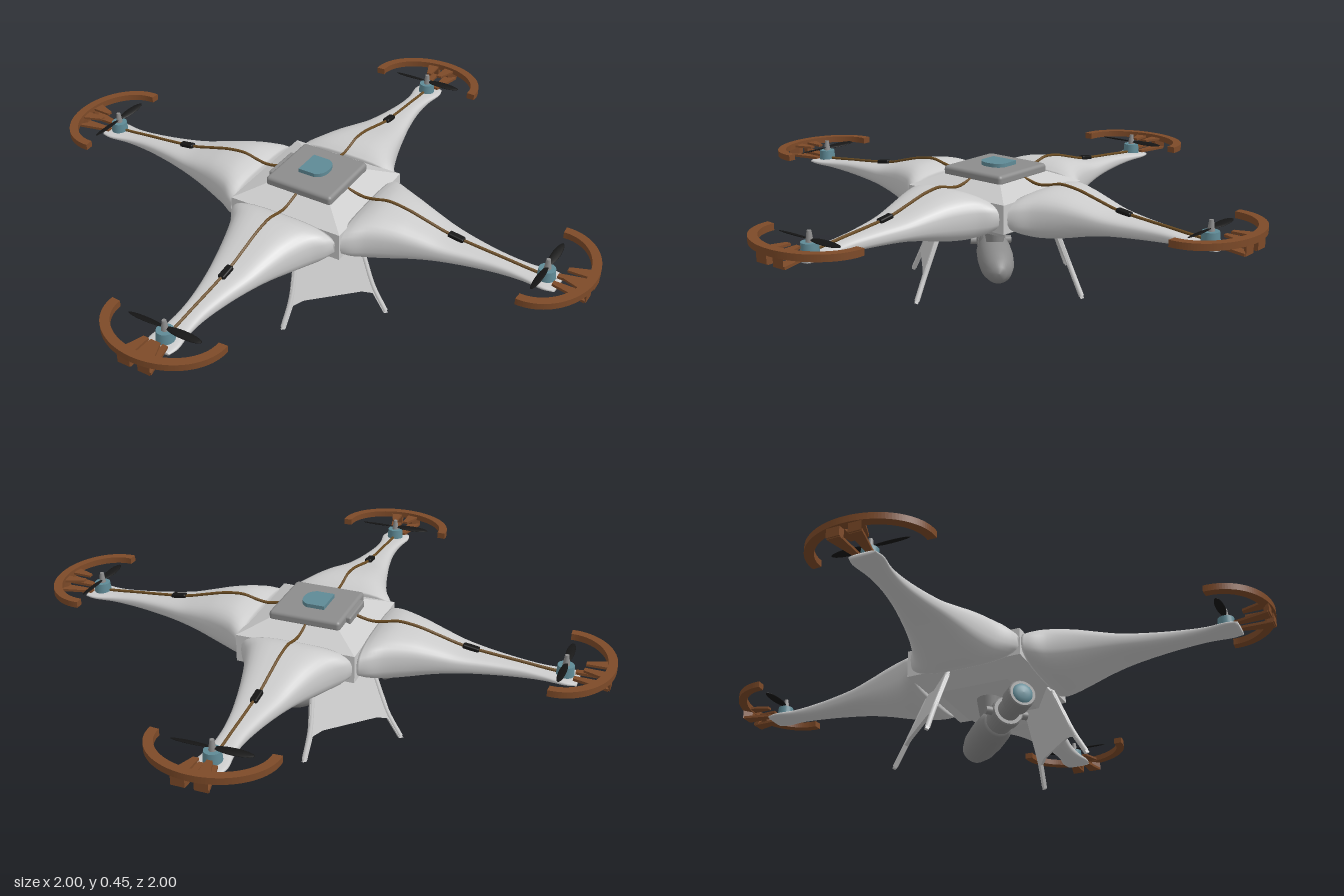
import * as THREE from 'three';
import { RoundedBoxGeometry } from 'three/addons/geometries/RoundedBoxGeometry.js';

const mat = (color, extra = {}) => new THREE.MeshStandardMaterial({ color, ...extra });
const GREY = mat(0xcccccc);
const FACET = mat(0xcccccc, { flatShading: true });
const DARK = mat(0x8c8c8c);
const DARK_FACET = mat(0x8c8c8c, { flatShading: true });
const BROWN = mat(0x7d4a28);
const TEAL = mat(0x5f8a96);
const BLACK = mat(0x151515);
const CABLE = mat(0x6b4c22);

function add(parent, name, geometry, material, x = 0, y = 0, z = 0) {
  const mesh = new THREE.Mesh(geometry, material);
  mesh.name = name;
  mesh.position.set(x, y, z);
  parent.add(mesh);
  return mesh;
}

// Skin a list of closed rings (counter-clockwise about the travel direction), with capped ends
function loft(rings) {
  const n = rings[0].length, pos = [], idx = [];
  rings.forEach(r => r.forEach(p => pos.push(...p)));
  for (let i = 0; i < rings.length - 1; i++)
    for (let j = 0; j < n; j++) {
      const a = i * n + j, b = i * n + (j + 1) % n;
      idx.push(a, b, b + n, a, b + n, a + n);
    }
  const last = (rings.length - 1) * n;
  for (let j = 1; j < n - 1; j++) idx.push(0, j + 1, j, last, last + j, last + j + 1);
  const g = new THREE.BufferGeometry();
  g.setAttribute('position', new THREE.Float32BufferAttribute(pos, 3));
  g.setIndex(idx);
  g.computeVertexNormals();
  return g;
}

// Plan outline in (x, z) made into a slab whose top is at the given height
function slab(shape, top, depth) {
  const g = new THREE.ExtrudeGeometry(shape, { depth, bevelEnabled: false, curveSegments: 32 });
  return g.rotateX(Math.PI / 2).translate(0, top, 0);
}

const polygon = pts => new THREE.Shape(pts.map(p => new THREE.Vector2(...p)));

// Arm stations: distance out, half width, top, bottom
const STATIONS = [
  [0.205, 0.2, 0.375, 0.255], [0.235, 0.185, 0.39, 0.242], [0.28, 0.155, 0.4, 0.235],
  [0.35, 0.125, 0.393, 0.245], [0.42, 0.102, 0.375, 0.262], [0.5, 0.08, 0.354, 0.277],
  [0.6, 0.056, 0.342, 0.285], [0.7, 0.041, 0.333, 0.291], [0.78, 0.041, 0.325, 0.297],
  [0.85, 0.052, 0.32, 0.302], [0.885, 0.045, 0.317, 0.304],
];

function armGeometry() {
  const curve = k => new THREE.CatmullRomCurve3(
    STATIONS.map(s => new THREE.Vector3(s[0], s[k], 0)));
  const [w, t, b] = [1, 2, 3].map(curve);
  const pow = (v, e) => Math.sign(v) * Math.abs(v) ** e;
  const rings = [];
  for (let i = 0; i <= 40; i++) {
    const u = i / 40, z = w.getPoint(u).x, hw = w.getPoint(u).y;
    const top = t.getPoint(u).y, bottom = b.getPoint(u).y;
    const ring = [];
    for (let j = 0; j < 32; j++) {
      const a = j / 32 * Math.PI * 2;
      ring.push([hw * pow(Math.cos(a), 0.65),
        (top + bottom) / 2 + (top - bottom) / 2 * pow(Math.sin(a), 0.75), z]);
    }
    rings.push(ring);
  }
  return loft(rings);
}

// One complete arm pointing along +z
function makeArm() {
  const arm = new THREE.Group();
  arm.name = 'armAssembly';
  add(arm, 'arm', armGeometry(), GREY);

  // Power cable and its clip
  const path = [[0.12, 0.402], [0.19, 0.388],
    ...STATIONS.slice(1, 10).map(s => [s[0], s[2] + 0.004])];
  const curve = new THREE.CatmullRomCurve3(path.map(([z, y]) => new THREE.Vector3(0, y, z)));
  add(arm, 'cable', new THREE.TubeGeometry(curve, 50, 0.005, 6), CABLE);
  add(arm, 'cableClip', new RoundedBoxGeometry(0.024, 0.018, 0.055, 2, 0.005), BLACK, 0, 0.353, 0.53)
    .rotation.x = 0.15;

  // Motor, shaft and propeller
  add(arm, 'motor', new THREE.CylinderGeometry(0.027, 0.03, 0.038, 24), TEAL, 0, 0.335, 0.84);
  add(arm, 'motorShaft', new THREE.CylinderGeometry(0.007, 0.012, 0.036, 16), DARK, 0, 0.371, 0.84);
  for (const side of [-1, 1]) {
    const blade = add(arm, 'propellerBlade', new THREE.SphereGeometry(1, 20, 10), BLACK,
      side * 0.068, 0.363, 0.84);
    blade.scale.set(0.064, 0.003, 0.014);
    blade.rotation.x = side * 0.3;
  }

  // Curved propeller guard
  const guard = new THREE.Shape();
  guard.absellipse(0, 0.83, 0.208, 0.168, -0.06, Math.PI + 0.06, false);
  guard.absellipse(0, 0.83, 0.178, 0.138, Math.PI + 0.06, -0.06, true);
  add(arm, 'propellerGuard', slab(guard, 0.372, 0.022), BROWN);

  // Twin guard brackets: flat strut, upright tab and upper web
  for (const s of [-1, 1]) {
    const wedge = (z0, z1) => {
      const pts = [[0.012 * s, z0], [0.03 * s, z0], [0.058 * s, z1], [0.014 * s, z1]];
      return polygon(pts);
    };
    add(arm, 'guardStrut', slab(wedge(0.87, 0.985), 0.326, 0.009), BROWN);
    add(arm, 'guardTab', slab(wedge(0.968, 0.99), 0.355, 0.036), BROWN);
    add(arm, 'guardWeb', slab(wedge(0.9, 0.975), 0.362, 0.008), BROWN);
  }
  return arm;
}

// Splayed two-footed leg panel, facing local +z
function makeLegs() {
  const legs = new THREE.Group();
  legs.name = 'landingLegs';
  const half = [[0.09, 0.29], [0.118, 0.25], [0.148, 0.1], [0.186, 0], [0.172, 0], [0.138, 0.078], [0.1, 0.09]];
  const outline = [...half, ...half.map(([x, y]) => [-x, y]).reverse()];
  const sheet = new THREE.Group();
  sheet.name = 'legSheet';
  sheet.position.z = 0.28;
  sheet.rotation.x = -0.356;
  const g = new THREE.ExtrudeGeometry(polygon(outline), { depth: 0.012, bevelEnabled: false });
  add(sheet, 'legPanel', g.translate(0, 0, -0.006), GREY);
  for (const s of [-1, 1]) {
    const line = new THREE.CatmullRomCurve3([[0.178, 0.007], [0.142, 0.1], [0.108, 0.26]]
      .map(([x, y]) => new THREE.Vector3(s * x, y, 0)));
    add(sheet, 'legStrut', new THREE.TubeGeometry(line, 12, 0.009, 8), GREY);
  }
  legs.add(sheet);
  return legs;
}

// Slung camera looking along local +z
function makeCamera() {
  const cam = new THREE.Group();
  cam.name = 'slungCamera';
  const turned = pts => new THREE.LatheGeometry(
    pts.map(([z, r]) => new THREE.Vector2(r, z)), 32).rotateX(Math.PI / 2);
  add(cam, 'cameraBody', turned([[-0.17, 0], [-0.165, 0.025], [-0.14, 0.046], [-0.09, 0.058],
    [-0.02, 0.062], [0.05, 0.06], [0.08, 0.05], [0.1, 0.04], [0.1, 0]]), DARK);
  const rings = [[0.09, 0.15, 0.046], [0.14, 0.18, 0.053], [0.17, 0.25, 0.037], [0.24, 0.305, 0.047]];
  for (const [a, b, r] of rings)
    add(cam, 'lensBarrel', turned([[a, 0], [a, r - 0.004], [a + 0.004, r], [b - 0.004, r],
      [b, r - 0.004], [b, 0]]), DARK_FACET);
  add(cam, 'lens', turned([[0.3, 0.036], [0.306, 0.034], [0.312, 0.02], [0.314, 0]]), TEAL);
  for (const s of [-1, 1])
    add(cam, 'sideKnob', new THREE.CylinderGeometry(0.014, 0.014, 0.03, 16).rotateZ(Math.PI / 2),
      DARK, s * 0.058, 0, 0.16);
  return cam;
}

export function createModel() {
  const model = new THREE.Group();
  model.name = 'quadcopter';

  // Square centre hull with sloped shoulders and faceted belly
  const hub = new THREE.Group();
  hub.name = 'hub';
  const profile = [[0, 0.228], [0.13, 0.228], [0.208, 0.268], [0.208, 0.365], [0.125, 0.402], [0, 0.402]];
  add(hub, 'hull', new THREE.LatheGeometry(
    profile.map(([r, y]) => new THREE.Vector2(r * Math.SQRT2, y)), 4, Math.PI / 4), FACET);
  add(hub, 'topPlate', new RoundedBoxGeometry(0.25, 0.036, 0.25, 3, 0.012), DARK, 0, 0.412, 0);
  add(hub, 'plateTab', new RoundedBoxGeometry(0.03, 0.026, 0.14, 2, 0.006), DARK, -0.126, 0.408, 0.01);
  const dome = new THREE.Shape();
  dome.moveTo(-0.045, -0.055).lineTo(0.015, -0.055);
  dome.quadraticCurveTo(0.045, -0.045, 0.045, -0.005);
  dome.quadraticCurveTo(0.045, 0.035, 0.015, 0.045);
  dome.lineTo(-0.045, 0.045);
  add(hub, 'sensorCap', slab(dome, 0.443, 0.02), TEAL);
  hub.position.set(0.005, 0, -0.006);
  model.add(hub);

  // Four identical arms
  for (let k = 0; k < 4; k++) {
    const arm = makeArm();
    arm.rotation.y = k * Math.PI / 2;
    model.add(arm);
  }

  // Leg panels on two opposite corners
  for (const turn of [0.25, 1.25]) {
    const legs = makeLegs();
    legs.rotation.y = turn * Math.PI;
    model.add(legs);
  }

  // Camera across the other diagonal, hung from the belly
  const camera = makeCamera();
  camera.rotation.set(-0.06, -Math.PI / 4, 0, 'YXZ');
  camera.position.y = 0.1;
  model.add(camera);
  add(model, 'cameraMount', new THREE.CylinderGeometry(0.045, 0.028, 0.1, 20), DARK, 0, 0.19, 0);
  return model;
}
